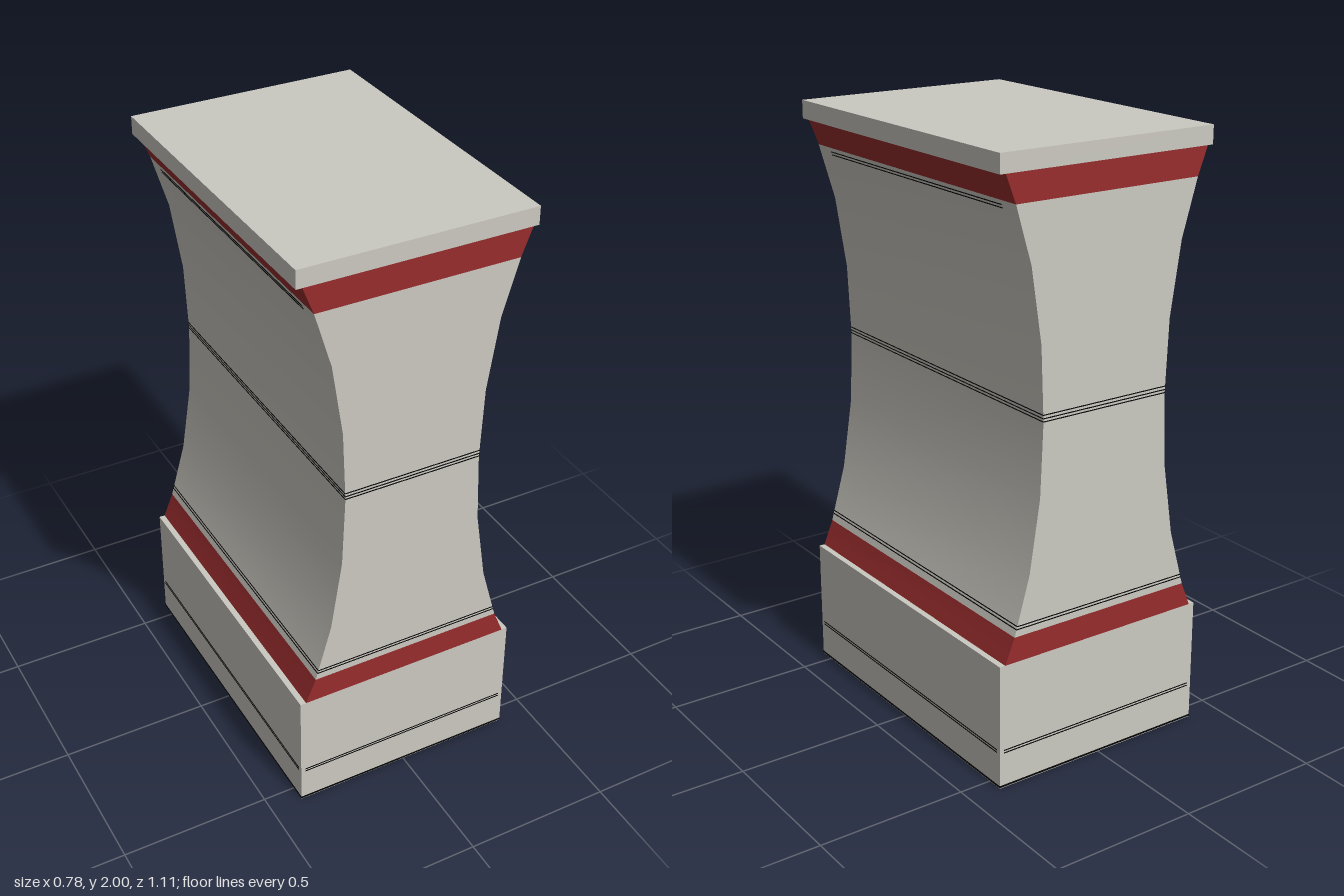
import * as THREE from 'three';

const DEPTH = 0.555;   // half depth shared by all parts
const WIDTH = 0.39;    // half width of base and cap

const paint = (name, color, side = THREE.FrontSide) => {
  const material = new THREE.MeshStandardMaterial({ color, side });
  material.name = name;
  return material;
};
const stone = paint('stone grey', 0xcbc9c1, THREE.DoubleSide);
const red = paint('dark red', 0x982c2d, THREE.DoubleSide);
const black = paint('seam black', 0x060606);

// Open four-sided shell through [y, halfWidth] levels; each side keeps its own
// vertices so corners stay sharp while the curved sides shade smoothly.
function shell(levels, isRed = () => false) {
  const positions = [], index = [];
  const geometry = new THREE.BufferGeometry();
  const corners = [[-1, 1], [1, 1], [1, -1], [-1, -1]];
  for (let s = 0; s < 4; s++) {
    const a = corners[s], b = corners[(s + 1) % 4];
    const start = positions.length / 3;
    for (const [y, w] of levels) {
      positions.push(a[0] * w, y, a[1] * DEPTH, b[0] * w, y, b[1] * DEPTH);
    }
    for (let i = 0; i < levels.length - 1; i++) {
      const k = start + i * 2;
      geometry.addGroup(index.length, 6, isRed(i) ? 1 : 0);
      index.push(k, k + 1, k + 3, k, k + 3, k + 2);
    }
  }
  geometry.setAttribute('position', new THREE.Float32BufferAttribute(positions, 3));
  geometry.setIndex(index);
  geometry.computeVertexNormals();
  return geometry;
}

export function createModel() {
  const model = new THREE.Group();
  model.name = 'pedestal';
  const add = (name, geometry, material) => {
    const mesh = new THREE.Mesh(geometry, material);
    mesh.name = name;
    model.add(mesh);
    return mesh;
  };

  // Hollow base, open underneath
  add('base', shell([[0, WIDTH], [0.425, WIDTH]]), [stone, red]);

  // Narrow ledges where the base meets the shaft
  for (const side of [-1, 1]) {
    const ledge = add('baseLedge', new THREE.PlaneGeometry(0.02, DEPTH * 2).rotateX(-Math.PI / 2), stone);
    ledge.position.set(side * 0.38, 0.425, 0);
  }

  // Waisted shaft with a red band at each end
  const profile = [
    [0.425, 0.37], [0.51, 0.335], [0.705, 0.28], [0.945, 0.243], [1.185, 0.233],
    [1.425, 0.243], [1.665, 0.28], [1.85, 0.335], [1.94, 0.37],
  ];
  const last = profile.length - 2;
  add('shaft', shell(profile, (i) => i === 0 || i === last), [stone, red]);

  // Flat slab on top
  const cap = add('cap', new THREE.BoxGeometry(WIDTH * 2, 0.06, DEPTH * 2), stone);
  cap.position.y = 1.97;

  // Hairline seams: [y, half width of the body there, end inset, height, on the ends too]
  const seams = [
    [0.006, WIDTH, 0, 0.006, true],
    [0.123, WIDTH, 0.015, 0.003, true], [0.132, WIDTH, 0.015, 0.003, true],
    [0.535, 0.328, 0, 0.003, true], [0.545, 0.325, 0, 0.003, true],
    [1.187, 0.233, 0, 0.003, true], [1.197, 0.233, 0, 0.003, true], [1.208, 0.234, 0, 0.003, true],
    [1.826, 0.328, 0.075, 0.003, false], [1.836, 0.331, 0.075, 0.003, false],
  ];
  for (const [y, width, inset, height, onEnds] of seams) {
    for (const side of [-1, 1]) {
      const flank = new THREE.BoxGeometry(0.003, height, (DEPTH - inset) * 2);
      add('sideSeam', flank, black).position.set(side * width, y, 0);
      if (!onEnds) continue;
      const end = new THREE.BoxGeometry((width - inset) * 2, height, 0.003);
      add('endSeam', end, black).position.set(0, y, side * DEPTH);
    }
  }

  return model;
}
